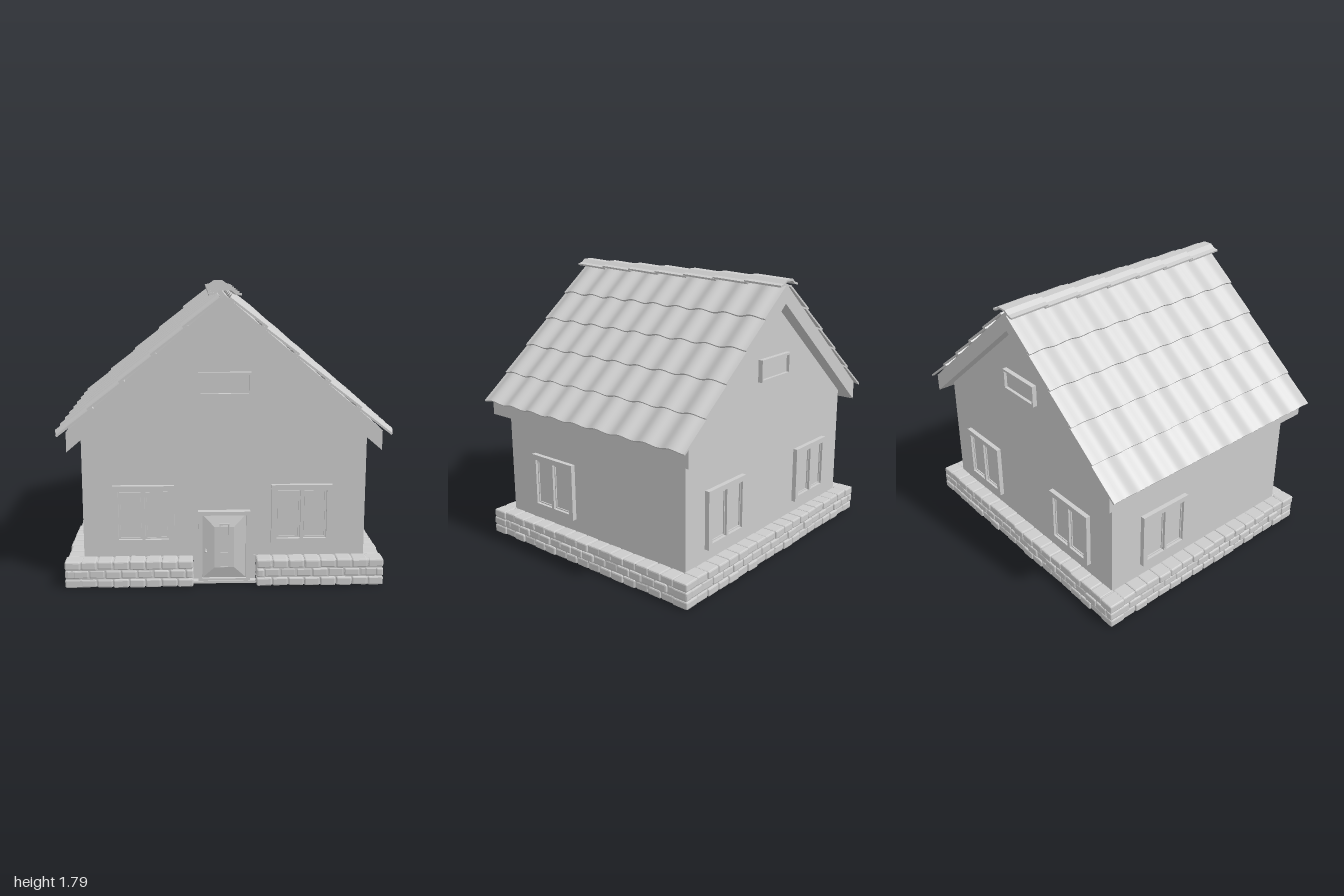
import * as THREE from 'three';
import { mergeGeometries } from 'three/addons/utils/BufferGeometryUtils.js';
import { RoundedBoxGeometry } from 'three/addons/geometries/RoundedBoxGeometry.js';

const smooth = new THREE.MeshStandardMaterial({ color: 0xcccccc });
const flat = new THREE.MeshStandardMaterial({ color: 0xcccccc, flatShading: true });

const PITCH = 0.85; // roof rise per unit of run
const ANGLE = Math.atan(PITCH);

function add(parent, name, geometry, material = flat) {
  const mesh = new THREE.Mesh(geometry, material);
  mesh.name = name;
  parent.add(mesh);
  return mesh;
}

// Box given by its minimum and maximum corners
function box(x0, x1, y0, y1, z0, z1) {
  return new THREE.BoxGeometry(x1 - x0, y1 - y0, z1 - z0)
    .translate((x0 + x1) / 2, (y0 + y1) / 2, (z0 + z1) / 2);
}

function polygon(points) {
  return new THREE.Shape(points.map(([x, y]) => new THREE.Vector2(x, y)));
}

function rect(x0, x1, y0, y1) {
  return polygon([[x0, y0], [x1, y0], [x1, y1], [x0, y1]]);
}

// Straight extrusion centred on z = 0
function prism(shape, depth) {
  return new THREE.ExtrudeGeometry(shape, { depth, bevelEnabled: false }).translate(0, 0, -depth / 2);
}

function seeded(seed) {
  return () => (seed = (seed * 16807) % 2147483647) / 2147483647;
}

// Frame with one opening per pane, standing on the plane z = 0
function makeWindow(name, w, h, border, bar, panes) {
  const group = new THREE.Group();
  group.name = name;
  const outline = rect(-w / 2, w / 2, -h / 2, h / 2);
  const paneW = (w - 2 * border - (panes - 1) * bar) / panes;
  const y = h / 2 - border;
  for (let i = 0; i < panes; i++) {
    const x = -w / 2 + border + i * (paneW + bar);
    outline.holes.push(rect(x, x + paneW, -y, y));
    // Sash slightly inset from the frame, with its glass behind
    const g = 0.006;
    const sash = rect(x + g, x + paneW - g, -y + g, y - g);
    if (panes > 1) {
      sash.holes.push(rect(x + 2 * g, x + paneW - 2 * g, -y + 2 * g, y - 2 * g));
      add(group, 'sash', prism(sash, 0.018).translate(0, 0, 0.009));
    }
    add(group, 'glass', box(x, x + paneW, -y, y, -0.01, 0.01));
  }
  add(group, 'windowFrame', prism(outline, 0.04).translate(0, 0, 0.01));
  return group;
}

// Windows of one gable and the long wall to its left; used front and back
function makeWindowSet() {
  const set = new THREE.Group();
  set.name = 'windows';
  for (const x of [-0.49, 0.468]) {
    const win = makeWindow('gableWindow', 0.37, 0.37, 0.034, 0.018, 2);
    win.position.set(x, 0.435, 0.75);
    set.add(win);
  }
  const attic = makeWindow('atticWindow', 0.315, 0.14, 0.014, 0, 1);
  attic.position.set(0, 1.235, 0.75);
  set.add(attic);
  const side = makeWindow('sideWindow', 0.37, 0.37, 0.034, 0.018, 2);
  side.position.set(0.855, 0.435, 0.335);
  side.rotation.y = Math.PI / 2;
  set.add(side);
  return set;
}

// Three staggered courses of rough stones along x from a to b, facing +z
function stoneRun(a, b, random) {
  const stones = [];
  const n = Math.round((b - a) / 0.1);
  const step = (b - a) / n;
  for (let row = 0; row < 3; row++) {
    const shift = row % 2 ? 0.5 : 0;
    for (let i = 0; i < n + (shift ? 1 : 0); i++) {
      const x0 = Math.max(a, a + (i - shift) * step);
      const x1 = Math.min(b, a + (i + 1 - shift) * step);
      const depth = 0.1 + random() * 0.012;
      const height = 0.05 + random() * 0.006;
      const stone = new RoundedBoxGeometry(x1 - x0 - 0.004, height, depth, 1, 0.009);
      stone.rotateZ((random() - 0.5) * 0.06);
      stone.translate((x0 + x1) / 2, 0.032 + row * 0.056, depth / 2 - 0.11);
      stones.push(stone);
    }
  }
  // Mortar behind the stones
  stones.push(box(a + 0.008, b - 0.008, 0.012, 0.165, -0.105, -0.012).toNonIndexed());
  return mergeGeometries(stones.map(s => (s.index ? s.toNonIndexed() : s)));
}

function makePlinth() {
  const plinth = new THREE.Group();
  plinth.name = 'stonePlinth';
  const random = seeded(77);
  for (const [a, b] of [[-0.965, -0.19], [0.19, 0.965]]) {
    add(plinth, 'frontStones', stoneRun(a, b, random)).position.z = 0.85;
  }
  const back = add(plinth, 'backStones', stoneRun(-0.965, 0.965, random));
  back.rotation.y = Math.PI;
  back.position.z = -0.85;
  for (const s of [-1, 1]) {
    const side = add(plinth, 'sideStones', stoneRun(-0.845, 0.845, random));
    side.rotation.y = s * Math.PI / 2;
    side.position.x = s * 0.963;
  }
  return plinth;
}

function makeDoor() {
  const door = new THREE.Group();
  door.name = 'door';
  add(door, 'doorRecess', box(-0.19, 0.19, 0.01, 0.17, 0.735, 0.755));
  add(door, 'threshold', box(-0.19, 0.19, 0.008, 0.022, 0.74, 0.8));
  const frame = rect(-0.16, 0.155, 0.02, 0.46);
  frame.holes.push(rect(-0.135, 0.13, 0.036, 0.437));
  add(door, 'doorFrame', prism(frame, 0.05).translate(0, 0, 0.768));
  // Leaf whose faces slope up to a raised middle
  const leaf = new THREE.ExtrudeGeometry(rect(-0.062, 0.057, 0.108, 0.365), {
    depth: 0.01, bevelSize: 0.072, bevelThickness: 0.02, bevelSegments: 1,
  });
  add(door, 'doorLeaf', leaf.translate(0, 0, 0.762));
  const lights = rect(-0.032, 0.028, 0.11, 0.386);
  for (let i = 0; i < 3; i++) {
    const y = 0.116 + i * 0.09;
    lights.holes.push(rect(-0.025, 0.021, y, y + 0.082));
  }
  add(door, 'doorLights', prism(lights, 0.02).translate(0, 0, 0.788));
  const stem = new THREE.CylinderGeometry(0.004, 0.004, 0.045, 8).rotateX(Math.PI / 2);
  add(door, 'handleStem', stem.translate(-0.115, 0.22, 0.8), smooth);
  add(door, 'handleKnob', new THREE.SphereGeometry(0.008, 12, 8).translate(-0.115, 0.22, 0.824), smooth);
  return door;
}

// One wavy course of tiles; x runs down the slope, y is the slope normal
function tileCourse(length) {
  const geo = new THREE.BoxGeometry(length, 0.012, 1.69, 1, 1, 108);
  const p = geo.attributes.position;
  for (let i = 0; i < p.count; i++) {
    const wave = -0.011 * Math.cos(((p.getZ(i) + 0.845) / 1.69) * 9 * 2 * Math.PI);
    p.setY(i, p.getY(i) + wave + 0.023 + (p.getX(i) / length) * 0.014);
  }
  geo.computeVertexNormals();
  return geo;
}

function makeRoof() {
  const roof = new THREE.Group();
  roof.name = 'roof';
  const e = 0.93, top = 1.755, low = 1.635;
  const slab = polygon([
    [-e, low - e * PITCH], [0, low], [e, low - e * PITCH],
    [e, top - e * PITCH], [0, top], [-e, top - e * PITCH],
  ]);
  add(roof, 'roofSlab', prism(slab, 1.66));

  for (const turn of [0, Math.PI]) {
    const side = new THREE.Group();
    side.name = 'tiledSlope';
    side.rotation.y = turn;
    const slope = new THREE.Group();
    slope.name = 'tileCourses';
    slope.position.y = top;
    slope.rotation.z = -ANGLE;
    for (let i = 0; i < 5; i++) {
      const length = 0.273;
      add(slope, 'tileCourse', tileCourse(length), smooth).position.x = 1.275 - i * 0.243 - length / 2;
    }
    side.add(slope);
    roof.add(side);
  }

  // Overlapping ridge caps, each lifted at its front end
  const half = [[0.095, 1.757], [0.062, 1.764], [0.032, 1.786]];
  const outer = [...half, ...half.map(([x, y]) => [-x, y]).reverse()];
  const inner = outer.map(([x, y]) => [x * 0.97, y - 0.012]).reverse();
  const cap = prism(polygon([...outer, ...inner]), 0.265).translate(0, -1.77, 0);
  for (let i = 0; i < 7; i++) {
    const mesh = add(roof, 'ridgeCap', cap);
    mesh.position.set(0, 1.773, -0.72 + i * 0.24);
    mesh.rotation.x = -0.045;
  }
  return roof;
}

export function createModel() {
  const house = new THREE.Group();
  house.name = 'house';

  // Gabled body, its floor raised inside the plinth
  const eave = 1.65 - 0.855 * PITCH;
  const gable = polygon([[-0.855, 0.14], [0.855, 0.14], [0.855, eave], [0, 1.65], [-0.855, eave]]);
  add(house, 'walls', prism(gable, 1.5));

  const frontWindows = makeWindowSet();
  const backWindows = makeWindowSet();
  backWindows.rotation.y = Math.PI;
  house.add(frontWindows, backWindows, makeDoor(), makePlinth(), makeRoof());
  return house;
}
